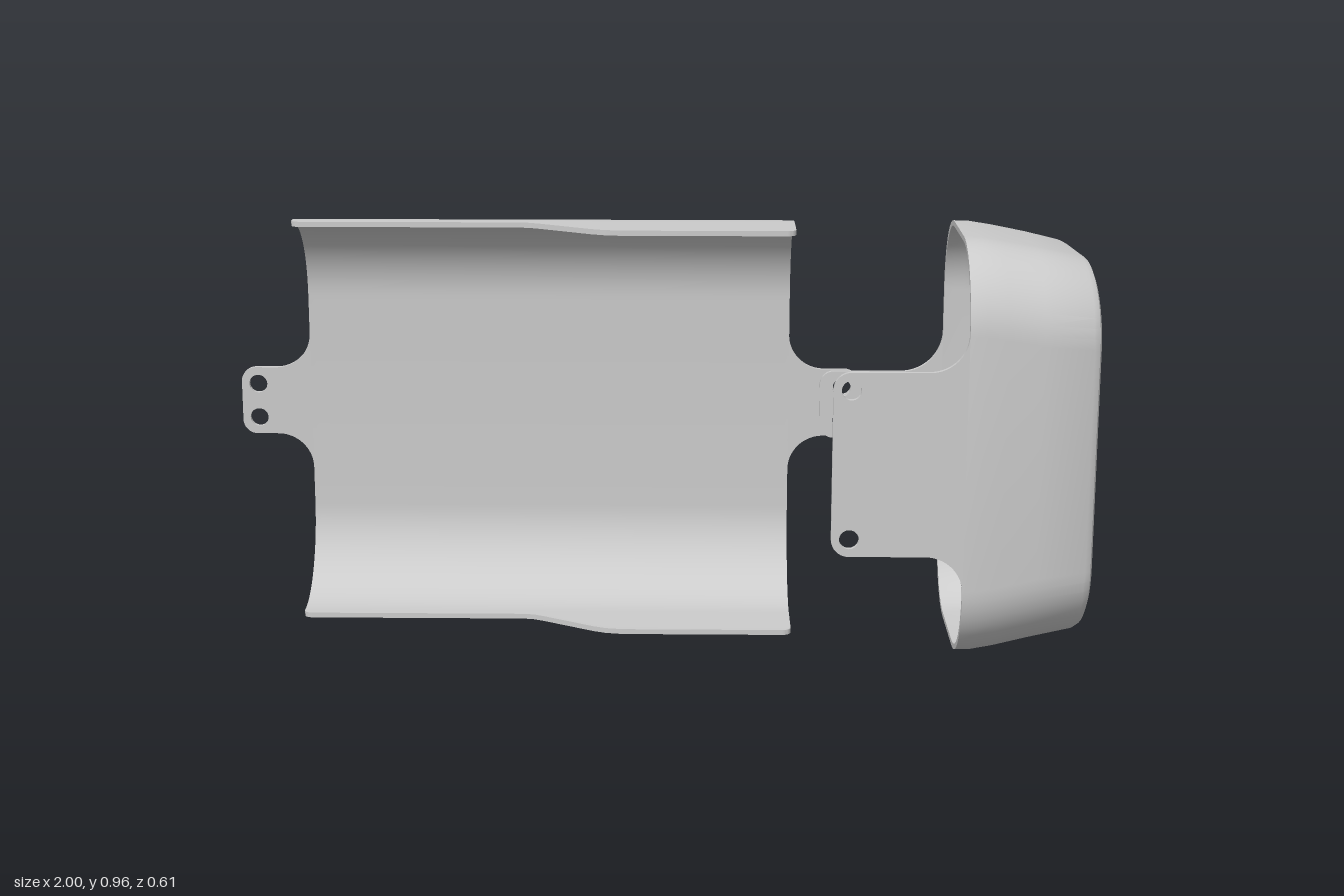
import * as THREE from 'three';
import { toCreasedNormals } from 'three/addons/utils/BufferGeometryUtils.js';

const mat = new THREE.MeshStandardMaterial({ color: 0xcccccc, side: THREE.DoubleSide });
const MID = 0.48; // height of the centre line
const T = 0.012; // wall thickness

function addMesh(parent, name, geometry) {
  const mesh = new THREE.Mesh(toCreasedNormals(geometry, 0.5), mat);
  mesh.name = name;
  parent.add(mesh);
  return mesh;
}

// Skin closed rings of [x, y, z]; optionally close a thin-walled section at both ends
function loft(rings, thinEnds = false) {
  const n = rings[0].length, index = [];
  for (let i = 0; i < rings.length - 1; i++) {
    for (let j = 0; j < n; j++) {
      const a = i * n + j, b = i * n + (j + 1) % n;
      index.push(a, b, a + n, b, b + n, a + n);
    }
  }
  if (thinEnds) {
    const e = (rings.length - 1) * n;
    for (let k = 0; k < n / 2 - 1; k++) {
      const p = k, q = k + 1, r = n - 2 - k, s = n - 1 - k;
      index.push(e + p, e + q, e + r, e + p, e + r, e + s, p, r, q, p, s, r);
    }
  }
  const g = new THREE.BufferGeometry();
  g.setAttribute('position', new THREE.Float32BufferAttribute(rings.flat(2), 3));
  g.setIndex(index);
  return g;
}

// Rounded rectangle as [y, z] points, half height h, between z0 and z1
function roundedLoop(h, z0, z1, r, seg = 12) {
  const pts = [];
  for (let c = 0; c < 4; c++) {
    const cy = MID + (c === 0 || c === 3 ? 1 : -1) * (h - r);
    const cz = c < 2 ? z1 - r : z0 + r;
    for (let i = 0; i <= seg; i++) {
      const a = (c + i / seg) * Math.PI / 2;
      pts.push([cy + r * Math.cos(a), cz + r * Math.sin(a)]);
    }
  }
  return pts;
}

// Flat lug growing along +x from its root, with filleted root and two holes
function lugGeometry({ len, hw, fillet, corner, holeU, holeV, thick = T }) {
  const s = new THREE.Shape();
  s.moveTo(0, -hw - fillet);
  s.lineTo(0, hw + fillet);
  s.absarc(fillet, hw + fillet, fillet, Math.PI, Math.PI * 1.5, false);
  s.absarc(len - corner, hw - corner, corner, Math.PI / 2, 0, true);
  s.absarc(len - corner, corner - hw, corner, 0, -Math.PI / 2, true);
  s.absarc(fillet, -hw - fillet, fillet, Math.PI / 2, Math.PI, false);
  for (const v of [-holeV, holeV]) {
    s.holes.push(new THREE.Path().absarc(holeU, v, 0.022, 0, Math.PI * 2, true));
  }
  const g = new THREE.ExtrudeGeometry(s, { depth: thick, bevelEnabled: false, curveSegments: 16 });
  return g.translate(0, 0, -thick / 2);
}

function addLug(parent, name, rootX, z, dir, options) {
  const lug = addMesh(parent, name, lugGeometry(options));
  lug.position.set(rootX, MID, z);
  if (dir < 0) lug.rotation.y = Math.PI;
}

// Open tray: curved back with arms whose front edge steps forward along x
function buildTray() {
  const tray = new THREE.Group();
  tray.name = 'tray';
  const x0 = -0.83, x1 = 0.335, back = -0.305, R = 0.22, c = 0.02;
  const section = (x, edge) => {
    const side = (inset) => {
      const pts = [], r = R - inset, h = 0.48;
      pts.push([x, MID - h + inset, edge]);
      for (const lower of [true, false]) {
        for (let i = 0; i <= 16; i++) {
          const a = Math.PI * (lower ? 1 : 1.5) + (i / 16) * Math.PI / 2;
          pts.push([x, MID + (lower ? -1 : 1) * (h - R) + r * Math.cos(a), back + R + r * Math.sin(a)]);
        }
      }
      pts.push([x, MID + h - inset, edge]);
      return pts;
    };
    return [...side(0), ...side(T).reverse()];
  };
  const stations = [];
  for (let i = 0; i <= 5; i++) {
    const a = (i / 5) * Math.PI / 2;
    stations.push([x0 + c * (1 - Math.cos(a)), -0.06 - c * (1 - Math.sin(a))]);
  }
  // eased slope between the low and the high edge
  stations.push([-0.3, -0.06], [-0.275, -0.055], [-0.25, -0.042], [-0.13, 0.03], [-0.1, 0.043], [-0.06, 0.05]);
  for (let i = 5; i >= 0; i--) {
    const a = (i / 5) * Math.PI / 2;
    stations.push([x1 - c * (1 - Math.cos(a)), 0.05 - c * (1 - Math.sin(a))]);
  }
  addMesh(tray, 'trayShell', loft(stations.map(([x, e]) => section(x, e)), true));

  const lug = { len: 0.17, hw: 0.083, fillet: 0.085, corner: 0.035, holeU: 0.13, holeV: 0.042 };
  addLug(tray, 'trayLugRight', x0, back + T / 2, -1, lug);
  addLug(tray, 'trayLugLeft', x1, back + T / 2, 1, lug);
  return tray;
}

// End cap: tapered cup with a slanted, windowed end plate
function buildCap() {
  const cap = new THREE.Group();
  cap.name = 'endCap';
  const open = 0.705, zb = -0.285;
  const faceX = (z) => 0.957 + (z + 0.265) * 0.084;
  const ring = (h, z0, z1, r, xOf) => roundedLoop(h, z0, z1, r).map(([y, z]) => [xOf(z), y, z]);
  const at = (x) => () => x;
  const behind = (d) => (z) => faceX(z) - d;
  addMesh(cap, 'capWall', loft([
    ring(0.418, zb + T, 0.25, 0.17, behind(0.022)),
    ring(0.466, zb + T, 0.288, 0.18, at(0.75)),
    ring(0.468, zb + T, 0.291, 0.18, at(open)),
    ring(0.48, zb, 0.303, 0.19, at(open)),
    ring(0.479, zb, 0.303, 0.19, at(0.74)),
    ring(0.471, zb, 0.299, 0.19, at(0.79)),
    ring(0.455, zb, 0.288, 0.19, at(0.87)),
    ring(0.435, zb + 0.002, 0.27, 0.18, behind(0.02)),
    ring(0.428, zb + 0.008, 0.26, 0.175, behind(0.006)),
    ring(0.415, zb + 0.02, 0.247, 0.165, faceX),
  ]));

  // end plate drawn with shape x = -z, then turned to face +x and slanted
  const plate = new THREE.Shape(
    roundedLoop(0.415, zb + 0.02, 0.247, 0.165).map(([y, z]) => new THREE.Vector2(-z, y)));
  for (const [z0, z1, y0, y1] of [[-0.038, 0.168, 0.18, 0.78], [-0.206, -0.097, 0.612, 0.773]]) {
    plate.holes.push(new THREE.Path([[z0, y0], [z0, y1], [z1, y1], [z1, y0]]
      .map(([z, y]) => new THREE.Vector2(-z, y))));
  }
  const g = new THREE.ExtrudeGeometry(plate, { depth: 0.022, bevelEnabled: false });
  g.translate(0, 0, -0.022).rotateY(Math.PI / 2);
  const p = g.attributes.position;
  for (let i = 0; i < p.count; i++) p.setX(i, p.getX(i) + faceX(p.getZ(i)));
  addMesh(cap, 'capEndPlate', g);

  // wide lug at the front, narrow one at the back
  addLug(cap, 'capFrontLug', open, 0.303 - T / 2, -1,
    { len: 0.295, hw: 0.21, fillet: 0.085, corner: 0.04, holeU: 0.255, holeV: 0.17 });
  addLug(cap, 'capBackLug', open, zb + T / 2, -1,
    { len: 0.295, hw: 0.083, fillet: 0.1, corner: 0.035, holeU: 0.242, holeV: 0.042 });
  return cap;
}

export function createModel() {
  const model = new THREE.Group();
  model.name = 'caseParts';
  model.add(buildTray(), buildCap());
  return model;
}
